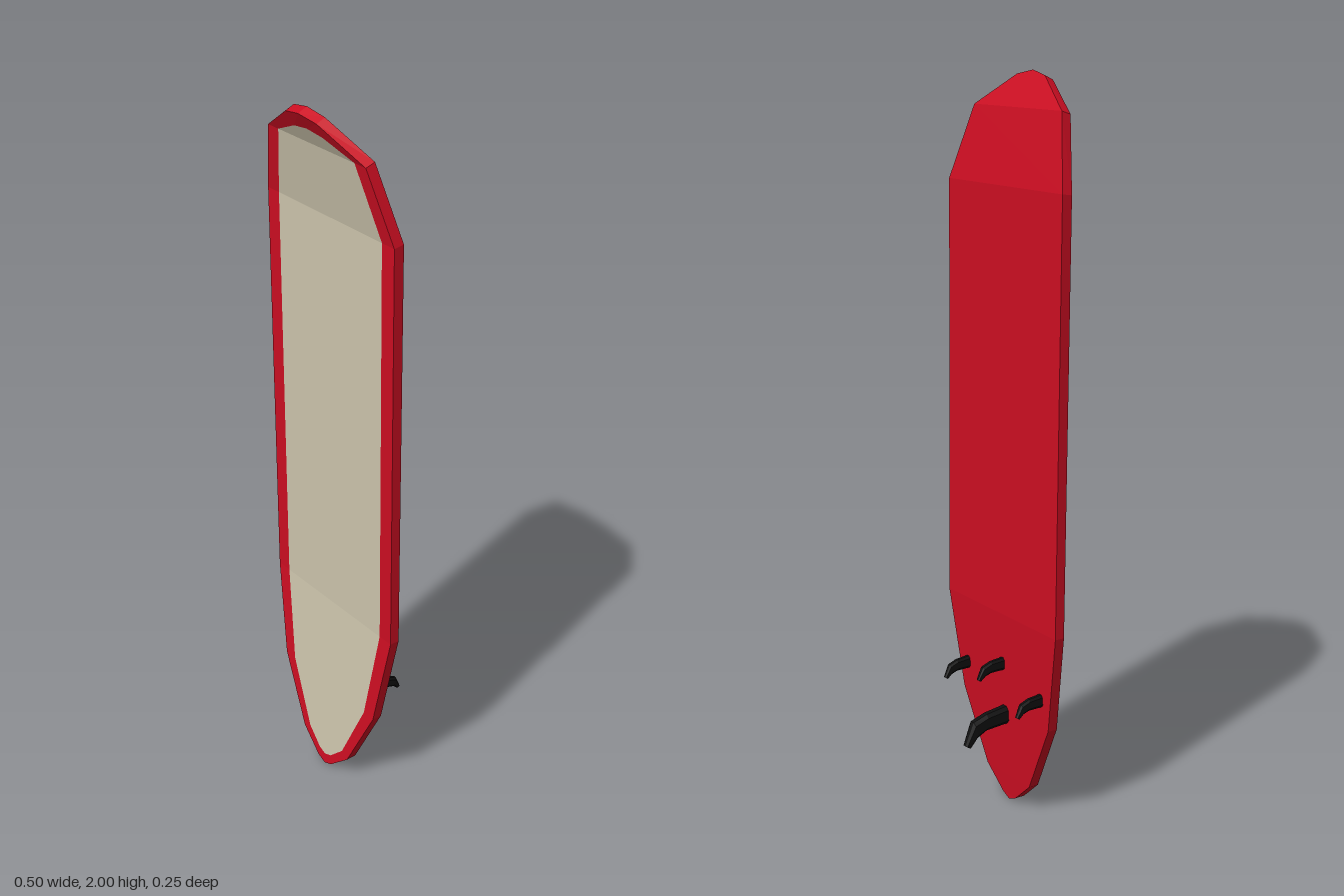
import * as THREE from 'three';

// [y, half width, back z, front y shift, thickness, deck half width, deck y], tail to nose
const STATIONS = [
  [0, 0, 0.026, 0, 0.03, 0, 0.033],
  [0.013, 0.03, 0.026, 0, 0.03, 0.025, 0.042],
  [0.075, 0.10, 0.022, 0, 0.03, 0.075, 0.09],
  [0.28, 0.20, 0.011, 0, 0.029, 0.16, 0.28],
  [0.56, 0.25, -0.005, 0, 0.028, 0.204, 0.56],
  [1.713, 0.25, 0.005, -0.004, 0.029, 0.204, 1.709],
  [1.908, 0.19, 0.046, -0.009, 0.027, 0.148, 1.899],
  [1.988, 0.06, 0.09, -0.011, 0.025, 0.055, 1.938],
  [2, 0, 0.097, -0.012, 0.026, 0, 1.946],
];

// Flat-faced geometry from quads, dropping collapsed triangles
function fromQuads(quads) {
  const pts = [];
  for (const [a, b, c, d] of quads) {
    for (const t of [[a, b, c], [a, c, d]]) {
      const area = new THREE.Triangle(...t).getArea();
      if (area > 1e-9) pts.push(...t);
    }
  }
  const g = new THREE.BufferGeometry().setFromPoints(pts);
  g.computeVertexNormals();
  return g;
}

// Height of the front surface, bent at each station
function frontZ(y) {
  for (let i = 1; i < STATIONS.length; i++) {
    const p = STATIONS[i - 1], q = STATIONS[i];
    const y0 = p[0] + p[3], y1 = q[0] + q[3];
    if (y <= y1 + 1e-6) return THREE.MathUtils.mapLinear(y, y0, y1, p[2] + p[4], q[2] + q[4]);
  }
  return 0.123;
}

// Closed outline: up the +x side, then down the -x side
function loop(fn) {
  const right = STATIONS.map(fn);
  const left = right.slice(1, -1).reverse().map(p => new THREE.Vector3(-p.x, p.y, p.z));
  return [...right, ...left];
}

const band = (a, b) => a.map((p, i) => {
  const j = (i + 1) % a.length;
  return [p, a[j], b[j], b[i]];
});

function cap(l, back) {
  const n = l.length, quads = [];
  for (let i = 0; i < n / 2; i++) {
    const q = [l[i], l[i + 1], l[n - i - 1], l[(n - i) % n]];
    quads.push(back ? q.reverse() : q);
  }
  return quads;
}

// Swept-back fin; rows are [leading z, leading y, trailing z, trailing y, half thickness]
function finGeometry(rows) {
  const corners = [[1, 0.45], [0.6, 1], [-0.6, 1], [-1, 0.45], [-1, -0.45], [-0.6, -1], [0.6, -1], [1, -0.45]];
  const rings = rows.map(([zt, yt, zb, yb, h]) => corners.map(([c, s]) =>
    new THREE.Vector3(s * h, (yt + yb) / 2 + c * (yt - yb) / 2, (zt + zb) / 2 + c * (zt - zb) / 2)));
  const quads = [];
  for (let i = 1; i < rings.length; i++) quads.push(...band(rings[i - 1], rings[i]));
  const t = rings[rings.length - 1];
  quads.push([t[0], t[1], t[2], t[3]], [t[0], t[3], t[4], t[7]], [t[4], t[5], t[6], t[7]]);
  return fromQuads(quads);
}

export function createModel() {
  const material = (name, color, side = THREE.FrontSide) => {
    const m = new THREE.MeshStandardMaterial({ color, flatShading: true, side });
    m.name = name;
    return m;
  };
  const red = material('red', 0xcc0e22);
  const cream = material('cream', 0xcdc5ad);
  const black = material('black', 0x101010, THREE.DoubleSide);

  const model = new THREE.Group();
  model.name = 'surfboard';
  const add = (name, geometry, mat, x = 0) => {
    const mesh = new THREE.Mesh(geometry, mat);
    mesh.name = name;
    mesh.position.x = x;
    model.add(mesh);
  };

  // Board shell and deck inlay
  const back = loop(([y, w, z]) => new THREE.Vector3(w, y, z));
  const front = loop(([y, w, z, dy, t]) => new THREE.Vector3(w, y + dy, z + t));
  const inner = loop(s => new THREE.Vector3(s[5], s[6], frontZ(s[6])));
  add('boardBottom', fromQuads(cap(back, true)), red);
  add('boardEdge', fromQuads(band(back, front)), red);
  add('deckRim', fromQuads(band(front, inner)), red);
  add('deck', fromQuads(cap(inner, false)), cream);

  // Large centre fin
  add('mainFin', finGeometry([
    [0.015, 0.287, 0.015, 0.235, 0.016],
    [-0.055, 0.278, -0.055, 0.231, 0.016],
    [-0.098, 0.264, -0.085, 0.216, 0.015],
    [-0.124, 0.2, -0.107, 0.19, 0.01],
  ]), black);

  // Small fins: one ahead of the main fin and a pair at the sides
  const smallFin = (y, k) => finGeometry([
    [0.01, y + 0.018, 0.01, y - 0.018, 0.009],
    [-0.035 * k, y + 0.014, -0.035 * k, y - 0.018, 0.009],
    [-0.06 * k, y + 0.004, -0.053 * k, y - 0.024, 0.009],
    [-0.075 * k, y - 0.03, -0.066 * k, y - 0.036, 0.006],
  ]);
  add('forwardFin', smallFin(0.413, 1.08), black);
  for (const s of [1, -1]) add(s > 0 ? 'leftFin' : 'rightFin', smallFin(0.362, 1), black, s * 0.172);

  return model;
}
